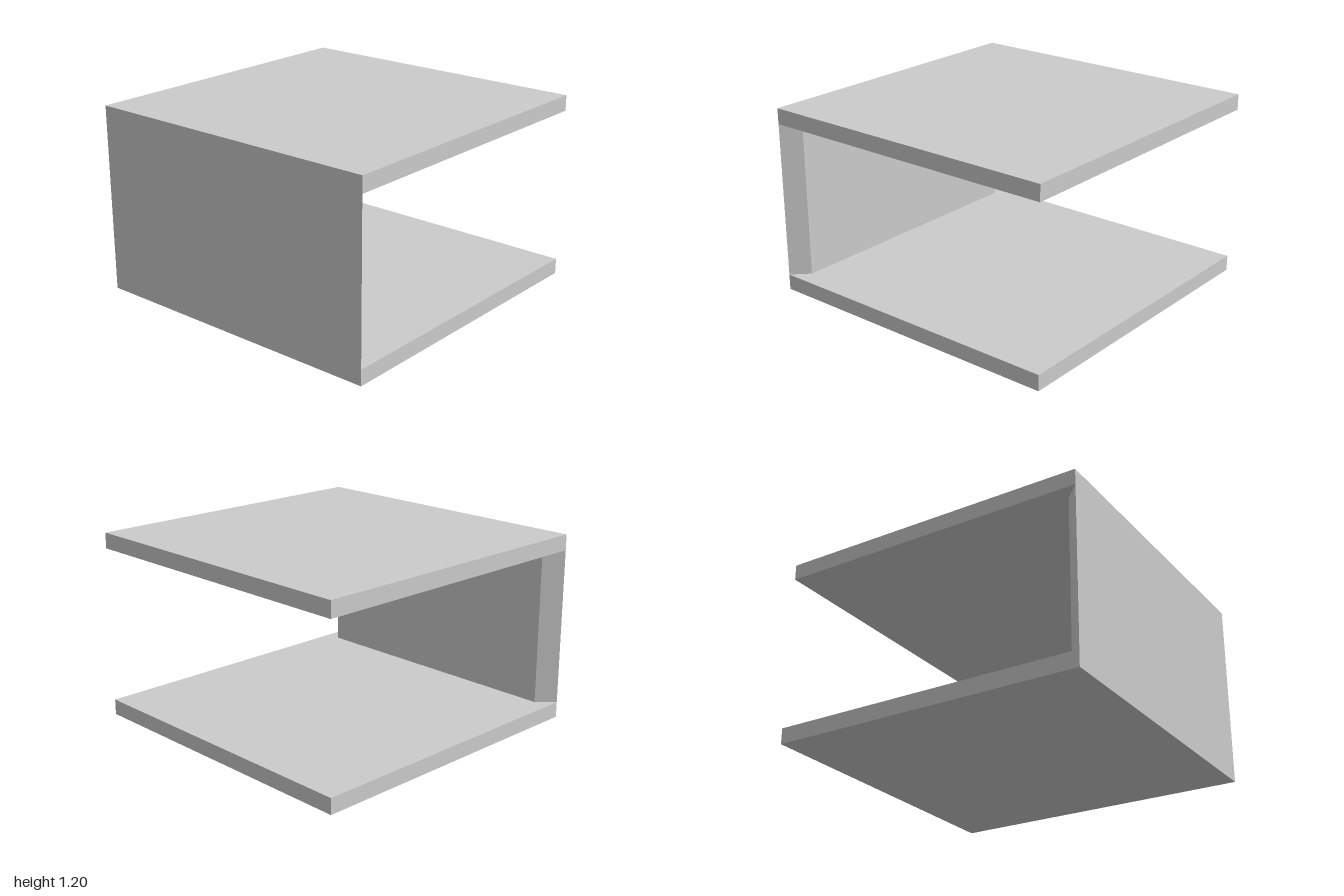
import * as THREE from 'three';

const SIZE = 2, THICK = 0.1, HEIGHT = 1.2;

export function createModel() {
  const model = new THREE.Group();
  const material = new THREE.MeshStandardMaterial({ color: 0xcccccc, flatShading: true });

  const add = (name, geometry, y) => {
    const mesh = new THREE.Mesh(geometry, material);
    mesh.name = name;
    mesh.position.y = y;
    model.add(mesh);
  };

  // Square panels at the bottom and top
  const panel = new THREE.BoxGeometry(SIZE, THICK, SIZE);
  add('bottomPanel', panel, THICK / 2);
  add('topPanel', panel, HEIGHT - THICK / 2);

  // Front wall between the panels, its ends mitred at 45 degrees
  const half = SIZE / 2, inner = half - THICK;
  const plan = new THREE.Shape([
    new THREE.Vector2(-inner, inner),
    new THREE.Vector2(inner, inner),
    new THREE.Vector2(half, half),
    new THREE.Vector2(-half, half),
  ]);
  const wall = new THREE.ExtrudeGeometry(plan, { depth: HEIGHT - 2 * THICK, bevelEnabled: false });
  wall.rotateX(Math.PI / 2); // plan y becomes z, extruded downwards
  add('frontWall', wall, HEIGHT - THICK);

  return model;
}
